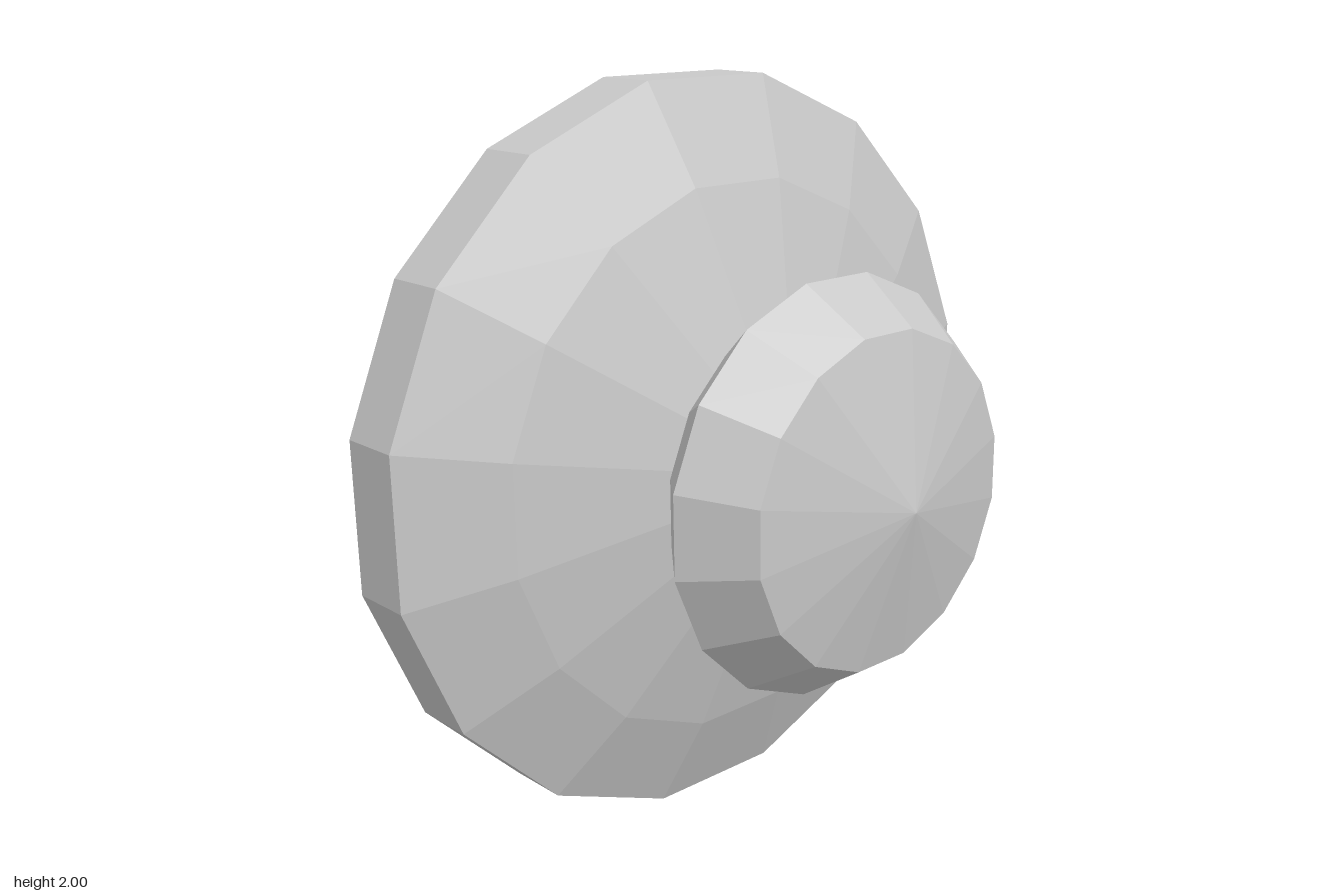
import * as THREE from 'three';

const SIDES = 16;
const toCorner = 1 / Math.cos(Math.PI / SIDES); // flat-to-flat radius -> corner radius

export function createModel() {
  const group = new THREE.Group();
  group.name = 'doorKnob';
  // Thin open shell, seen from both sides
  const metal = new THREE.MeshStandardMaterial({ color: 0xc8c8c8, flatShading: true, side: THREE.DoubleSide });
  metal.name = 'grey metal';

  // Faceted ring around the z axis; profile is a run of [radius, z]
  function turned(name, profile) {
    const pts = profile.map(([r, z]) => new THREE.Vector2(r * toCorner, z));
    const geo = new THREE.LatheGeometry(pts, SIDES, Math.PI / SIDES);
    geo.rotateX(Math.PI / 2);
    const mesh = new THREE.Mesh(geo, metal);
    mesh.name = name;
    mesh.position.y = 1;
    group.add(mesh);
  }

  // Flat back lip, bevel and outer band
  turned('rim', [[0.72, -0.515], [0.86, -0.515], [1, -0.4], [1, -0.225]]);
  // Dish narrowing to the open neck
  turned('dish', [[1, -0.225], [0.74, -0.11], [0.34, 0.01]]);
  // Hollow knob flaring from the neck and closing in a shallow cone
  turned('knob', [[0.34, 0.01], [0.425, 0.095], [0.543, 0.242], [0.43, 0.415], [0, 0.517]]);

  return group;
}
